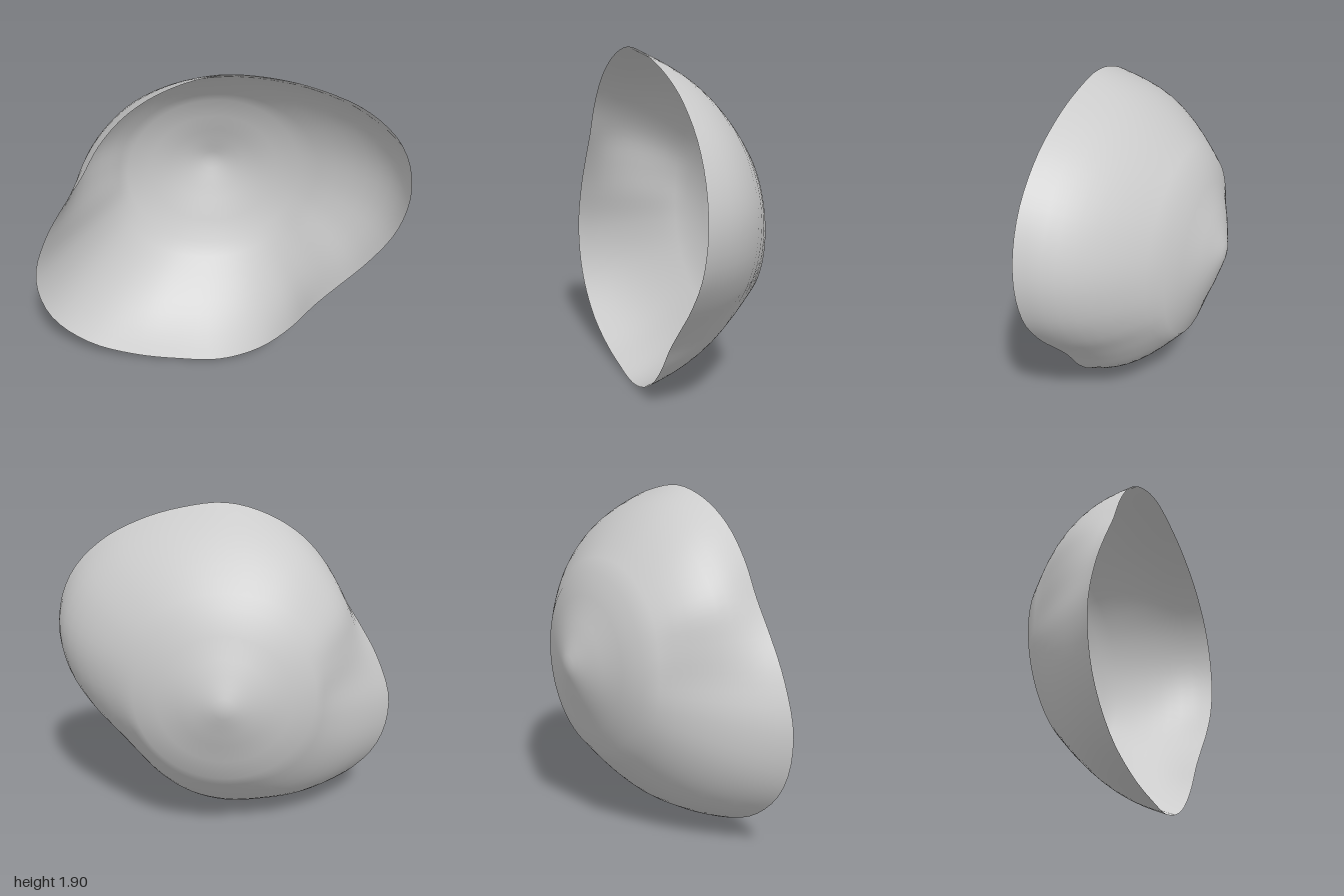
import * as THREE from 'three';

const CENTRE_Y = 0.945;
const SEGMENTS = 96;
const SKIRT_STEPS = 9;
const SHOULDER = { r: 0.5, z: -0.2 };
const RIM = { r: 0.945, z: 0.365 };
const MID = 0.4; // depth fraction of the middle section

// Rim radius every 15 degrees, counter-clockwise from +x
const RIM_RADII = [
  0.957, 1.03, 1.054, 1.028, 0.985, 0.957, 0.95, 0.917, 0.877, 0.83, 0.797, 0.834,
  0.922, 1.034, 1.09, 1.068, 1.005, 0.957, 0.945, 0.898, 0.823, 0.764, 0.778, 0.852,
];

// How far the middle section swells or sinks from the plain dome, same angles
const MID_OFFSETS = [
  0.055, 0.095, 0.09, 0.06, 0.03, 0.01, 0, 0, 0, -0.01, -0.02, -0.055,
  -0.06, -0.01, 0.04, 0.06, 0.05, 0.02, 0.005, -0.01, -0.035, -0.06, -0.055, -0.005,
];

// Round cap from the tip to the shoulder: radius, z
const CAP = [[0.03, -0.364], [0.06, -0.358], [0.11, -0.342], [0.18, -0.318],
  [0.25, -0.293], [0.37, -0.245], [SHOULDER.r, SHOULDER.z]];

// Smooth periodic interpolation of a table of angles
function sample(table, angle) {
  const n = table.length;
  const f = (angle / (Math.PI * 2)) * n;
  const i = Math.floor(f), t = f - i;
  const [a, b, c, d] = [-1, 0, 1, 2].map((k) => table[(i + k + n) % n]);
  return b + 0.5 * t * (c - a + t * (2 * a - 5 * b + 4 * c - d + t * (3 * (b - c) + d - a)));
}

// Skirt: a plain dome plus lobes that pass through the middle and rim sections
function skirtRadius(angle, t) {
  const dome = SHOULDER.r + (RIM.r - SHOULDER.r) * (t + 0.14 * Math.sin(Math.PI * t));
  const midWeight = (t * (1 - t)) / (MID * (1 - MID));
  const rimWeight = (t * (t - MID)) / (1 - MID);
  return dome + sample(MID_OFFSETS, angle) * midWeight
    + (sample(RIM_RADII, angle) - RIM.r) * rimWeight;
}

function shellGeometry() {
  const rings = CAP.map(([r, z]) => ({ z, radius: () => r }));
  for (let s = 1; s <= SKIRT_STEPS; s++) {
    const t = s / SKIRT_STEPS;
    rings.push({
      z: THREE.MathUtils.lerp(SHOULDER.z, RIM.z, t),
      radius: (angle) => skirtRadius(angle, t),
    });
  }

  const positions = [0, CENTRE_Y, -0.366];
  for (const ring of rings) {
    for (let j = 0; j < SEGMENTS; j++) {
      const angle = (j / SEGMENTS) * Math.PI * 2;
      const r = ring.radius(angle);
      positions.push(r * Math.cos(angle), CENTRE_Y + r * Math.sin(angle), ring.z);
    }
  }

  // Tip fan, then bands between rings; outside faces -z
  const index = [];
  for (let j = 0; j < SEGMENTS; j++) {
    const k = (j + 1) % SEGMENTS;
    index.push(0, 1 + k, 1 + j);
    for (let i = 0; i < rings.length - 1; i++) {
      const p = 1 + i * SEGMENTS, q = p + SEGMENTS;
      index.push(p + j, p + k, q + j, p + k, q + k, q + j);
    }
  }

  const geometry = new THREE.BufferGeometry();
  geometry.setAttribute('position', new THREE.Float32BufferAttribute(positions, 3));
  geometry.setIndex(index);
  geometry.computeVertexNormals();
  return geometry;
}

export function createModel() {
  const group = new THREE.Group();
  group.name = 'lobedShell';

  // Thin open shell with a pointed back
  const shell = new THREE.Mesh(
    shellGeometry(),
    new THREE.MeshStandardMaterial({ color: 0xcccccc, side: THREE.DoubleSide }),
  );
  shell.name = 'shell';
  group.add(shell);
  return group;
}
